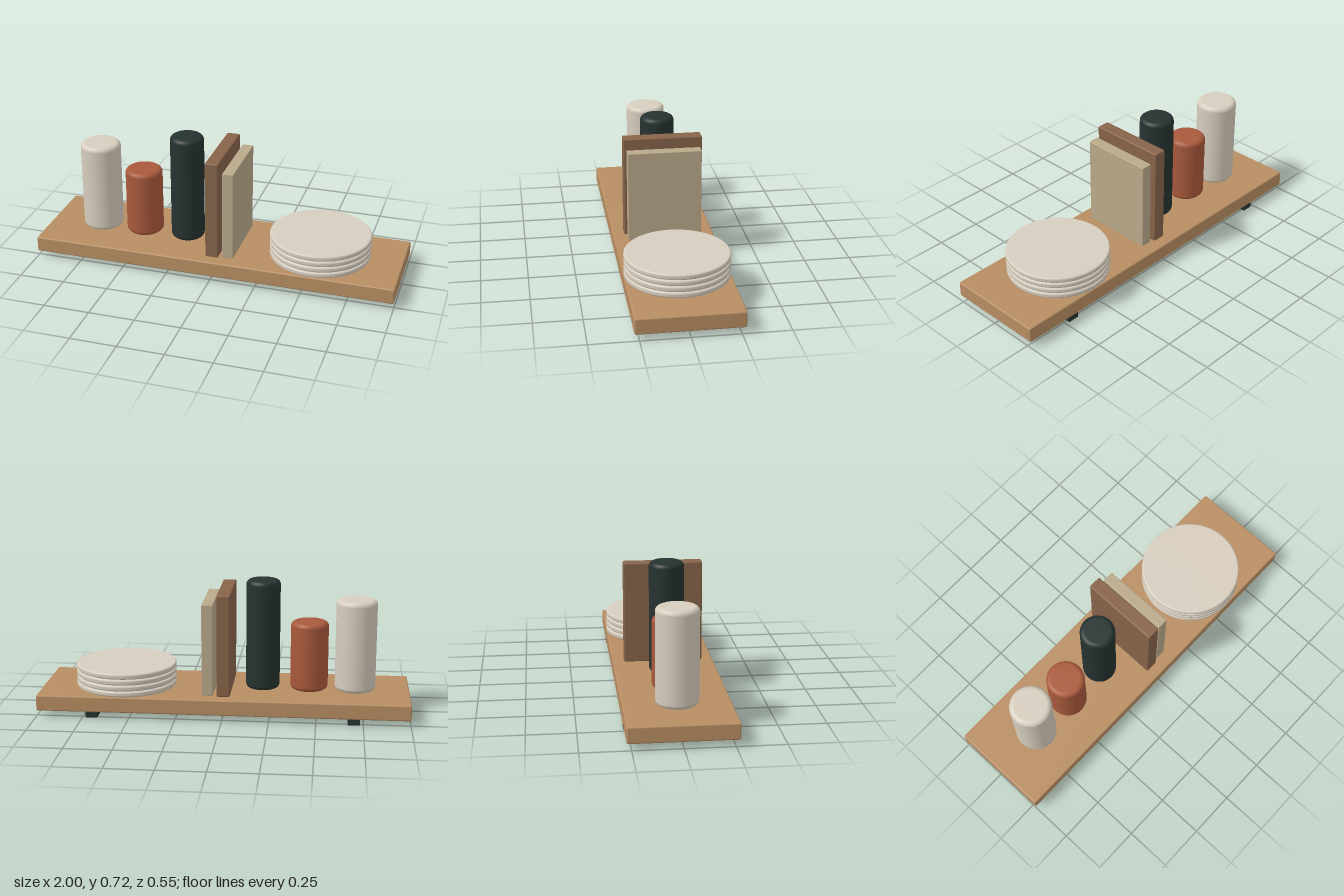
import * as THREE from 'three';
import { RoundedBoxGeometry } from 'three/addons/geometries/RoundedBoxGeometry.js';

const material = (name, color) => {
  const m = new THREE.MeshStandardMaterial({ color });
  m.name = name;
  return m;
};

export function createModel() {
  const group = new THREE.Group();
  const oak = material('oak', 0xb88e63);
  const walnut = material('walnut', 0x87644a);
  const linen = material('linen', 0xb9a98a);
  const cream = material('cream', 0xd6cdbe);
  const terracotta = material('terracotta', 0xa9593c);
  const charcoal = material('charcoal', 0x263230);

  const add = (name, geometry, mat, x, y, z) => {
    const mesh = new THREE.Mesh(geometry, mat);
    mesh.name = name;
    mesh.position.set(x, y, z);
    group.add(mesh);
  };

  // Box with softened edges, standing on y
  const block = (name, mat, w, h, d, x, y, z, r) =>
    add(name, new RoundedBoxGeometry(w, h, d, 3, r), mat, x, y + h / 2, z);

  // Solid cylinder with rounded rims, standing on y
  const round = (name, mat, radius, h, bevel, x, y) => {
    const points = [new THREE.Vector2(0, 0)];
    const steps = 6;
    for (const [cy, start] of [[bevel, -Math.PI / 2], [h - bevel, 0]]) {
      for (let i = 0; i <= steps; i++) {
        const a = start + (i / steps) * Math.PI / 2;
        points.push(new THREE.Vector2(radius - bevel + Math.cos(a) * bevel, cy + Math.sin(a) * bevel));
      }
    }
    points.push(new THREE.Vector2(0, h));
    add(name, new THREE.LatheGeometry(points, 64), mat, x, y, 0);
  };

  const top = 0.118;

  // Shelf board and its two support rails
  block('shelfBoard', oak, 2, 0.086, 0.548, 0, 0.032, 0, 0.008);
  for (const side of [-1, 1]) {
    block(side < 0 ? 'rightRail' : 'leftRail', charcoal, 0.064, 0.034, 0.44, side * 0.7, 0, -0.05, 0.004);
  }

  // Canisters
  round('tallCreamCanister', cream, 0.11, 0.502, 0.026, -0.705, top);
  round('shortTerracottaCanister', terracotta, 0.102, 0.377, 0.026, -0.455, top);
  round('tallCharcoalCanister', charcoal, 0.092, 0.602, 0.026, -0.203, top);

  // Upright boards
  block('walnutBoard', walnut, 0.072, 0.552, 0.425, -0.003, top, 0, 0.007);
  block('linenBoard', linen, 0.061, 0.499, 0.397, 0.083, top, 0, 0.004);

  // Stack of plates
  for (let i = 0; i < 4; i++) {
    round('plate' + (i + 1), cream, 0.274, 0.03, 0.01, 0.549, top + i * 0.0327);
  }
  return group;
}
